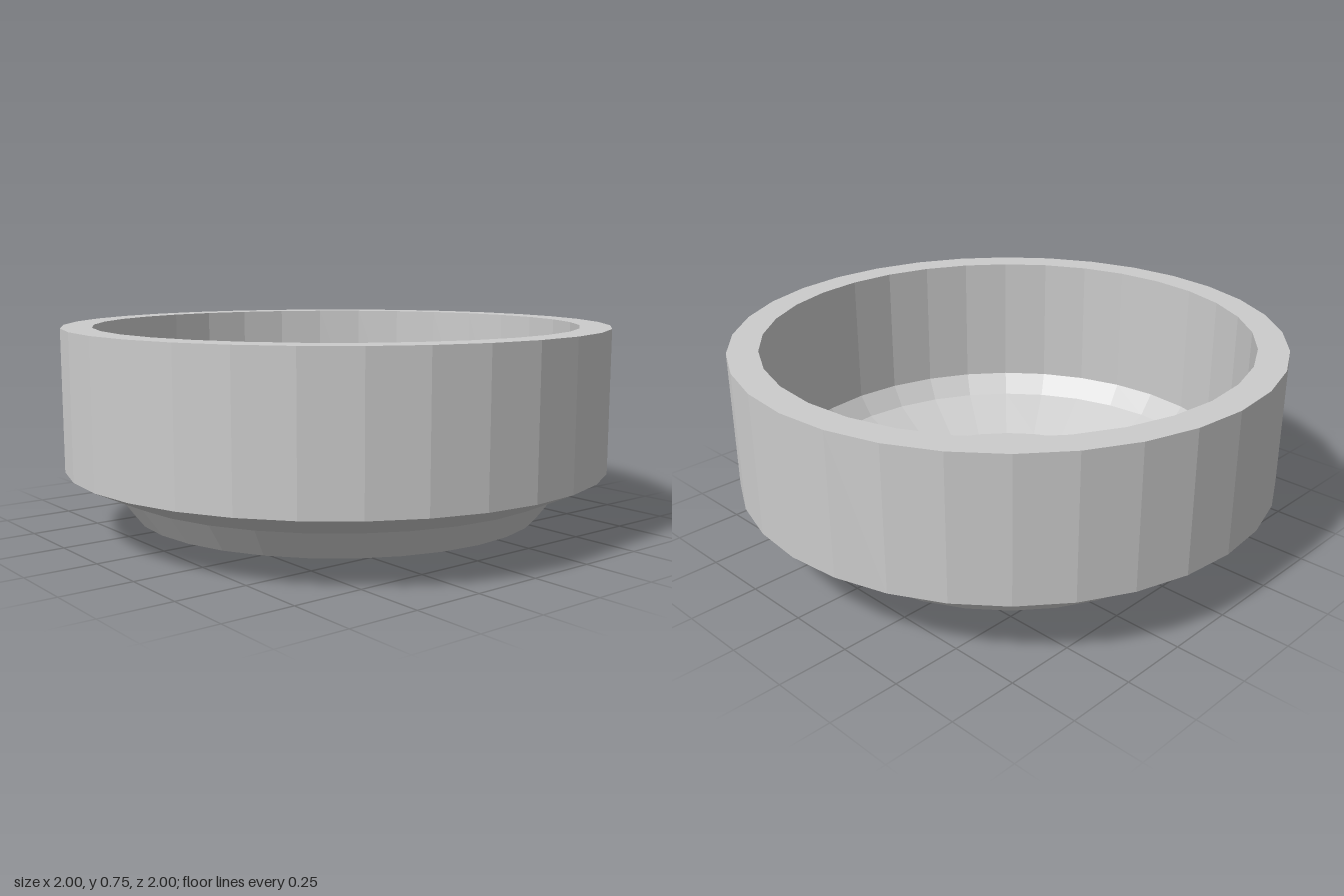
import * as THREE from 'three';

export function createModel() {
  const group = new THREE.Group();
  const material = new THREE.MeshStandardMaterial({ color: 0xcccccc, flatShading: true });

  // Closed [radius, height] profile: from under the foot, up the outside, over the rim, down to the floor
  const profile = [
    [0, 0], [0.51, 0],                    // base disc
    [0.62, 0.055], [0.755, 0.055],        // bevelled foot and flat step
    [0.83, 0.155], [1, 0.235],            // flared underside
    [1, 0.745], [0.89, 0.745],            // outer wall and rim
    [0.89, 0.235],                        // upright inner wall
    [0.83, 0.157], [0.62, 0.057],         // dished inside in two slopes
    [0, 0.057],                           // inner floor
  ].map(([r, y]) => new THREE.Vector2(r, y));

  const bowl = new THREE.Mesh(new THREE.LatheGeometry(profile, 32), material);
  bowl.name = 'bowl';
  group.add(bowl);
  return group;
}
